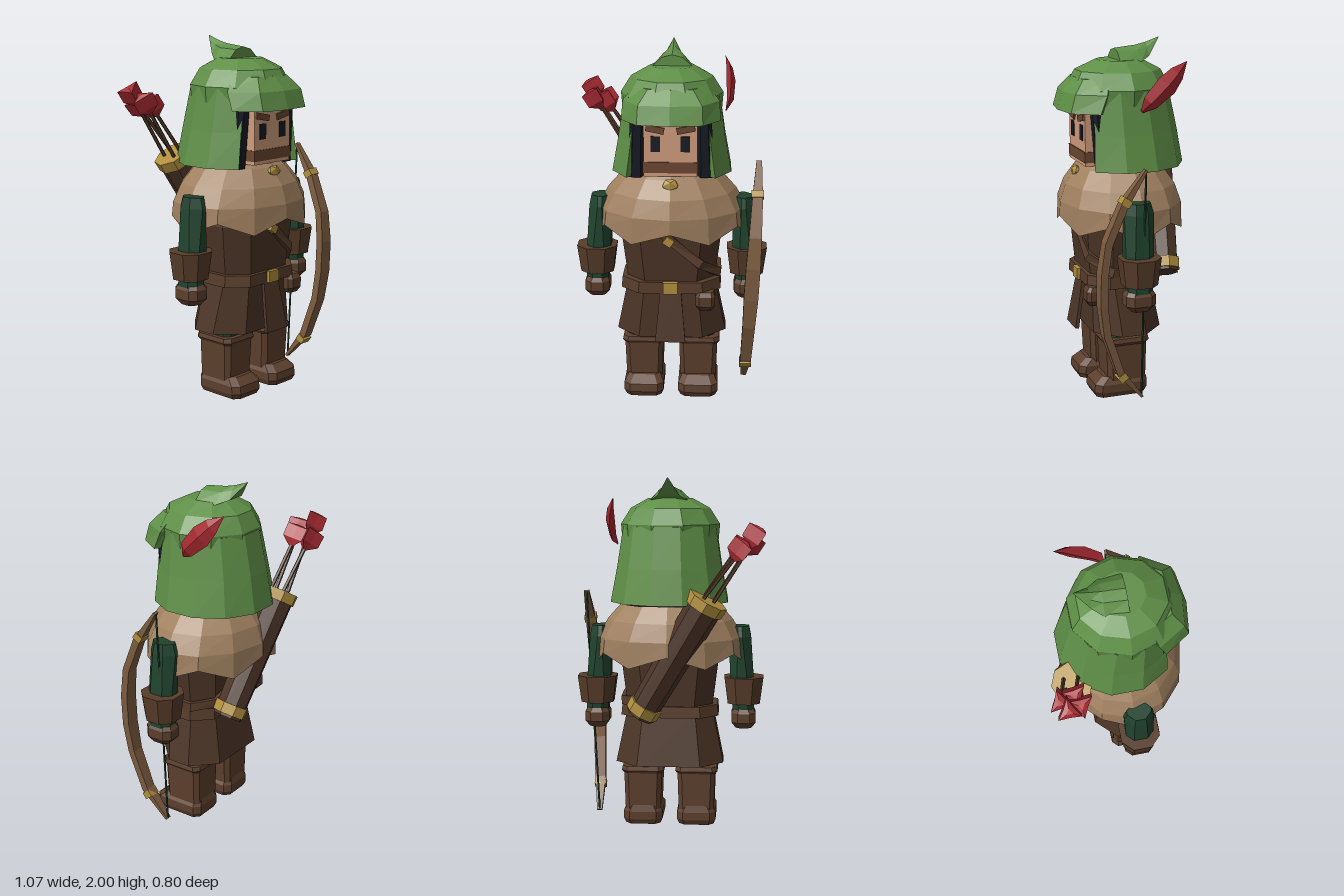
import * as THREE from 'three';

const V = (x, y, z) => new THREE.Vector3(x, y, z);
const COL = {
  green: 0x5f8f47, cape: 0xa08060, tunic: 0x4c3527, boot: 0x5c3f2d, gold: 0xb08f3e, sleeve: 0x20432e,
  red: 0xa82a32, skin: 0xcf9c7c, wood: 0x7d5c40, black: 0x171a24, leather: 0x573c2a, brow: 0x6b4630,
};
const mats = {};
for (const k in COL) mats[k] = new THREE.MeshStandardMaterial({ color: COL[k], flatShading: true, side: THREE.DoubleSide });

// Skin a list of equal-length closed rings; ends are capped with a ladder of quads.
function loft(rings, capStart = true, capEnd = true) {
  const tris = [], n = rings[0].length;
  const tri = (a, b, c) => tris.push([a, b, c]);
  for (let i = 0; i < rings.length - 1; i++) for (let j = 0; j < n; j++) {
    const k = (j + 1) % n, p = rings[i], q = rings[i + 1];
    tri(p[j], p[k], q[k]);
    tri(p[j], q[k], q[j]);
  }
  const cap = (r, flip) => {
    for (let j = 0; j + 1 <= n - 2 - j; j++) {
      const a = r[j], b = r[j + 1], c = r[n - 2 - j], d = r[n - 1 - j];
      if (flip) { tri(c, b, a); tri(d, c, a); } else { tri(a, b, c); tri(a, c, d); }
    }
  };
  if (capStart) cap(rings[0], true);
  if (capEnd) cap(rings[rings.length - 1], false);
  // keep faces pointing outward whichever way the rings run
  let vol = 0;
  for (const [a, b, c] of tris) vol += a.dot(b.clone().cross(c));
  const pts = tris.flatMap(([a, b, c]) => (vol < 0 ? [a, c, b] : [a, b, c]));
  const g = new THREE.BufferGeometry().setFromPoints(pts);
  g.computeVertexNormals();
  return g;
}

// Horizontal rectangle with cut corners: centre cx, half width hw, z range, corner cut c
const rect = (y, cx, hw, z0, z1, c) => [
  [hw - c, z0], [hw, z0 + c], [hw, z1 - c], [hw - c, z1],
  [c - hw, z1], [-hw, z1 - c], [-hw, z0 + c], [c - hw, z0],
].map(([x, z]) => V(cx + x, y, z)).reverse();

// Horizontal ellipse; angle 0 faces the front
const oval = (n, y, rx, rz, cz, off = 0) => Array.from({ length: n }, (_, i) => {
  const a = ((i + off) / n) * Math.PI * 2;
  return V(Math.sin(a) * rx, typeof y === 'function' ? y(i) : y, cz + Math.cos(a) * rz);
});

// Strip outline closed by a smaller copy of itself, which gives cloth its thickness
const thick = (pts, s, cz) => [...pts, ...pts.map(p => V(p.x * s, p.y, cz + (p.z - cz) * s)).reverse()];

// Sweep a flat rectangular section along points; outward(p) is the thin direction
function sweep(pts, w, t, outward) {
  return loft(pts.map((p, i) => {
    const T = pts[Math.min(i + 1, pts.length - 1)].clone().sub(pts[Math.max(i - 1, 0)]).normalize();
    const S = T.clone().cross(outward(p)).normalize(), N = S.clone().cross(T);
    const hw = w(i) / 2, ht = t(i) / 2;
    return [[-1, -1], [1, -1], [1, 1], [-1, 1]].map(([a, b]) => p.clone().addScaledVector(S, a * hw).addScaledVector(N, b * ht));
  }));
}

export function createModel() {
  const root = new THREE.Group();
  const add = (name, geo, mat, parent = root) => {
    const m = new THREE.Mesh(geo, mats[mat]);
    m.name = name;
    parent.add(m);
    return m;
  };
  const box = (name, mat, w, h, d, x, y, z, rz = 0) => {
    const m = add(name, new THREE.BoxGeometry(w, h, d), mat);
    m.position.set(x, y, z);
    m.rotation.z = rz;
    return m;
  };
  // Cylinder between two points
  const rod = (name, mat, a, b, r0, r1, n, parent = root) => {
    const m = add(name, new THREE.CylinderGeometry(r1, r0, a.distanceTo(b), n), mat, parent);
    m.position.copy(a).lerp(b, 0.5);
    m.quaternion.setFromUnitVectors(V(0, 1, 0), b.clone().sub(a).normalize());
    return m;
  };

  // Legs, boots and arms, mirrored
  for (const s of [1, -1]) {
    const side = s > 0 ? 'left' : 'right', x = s * 0.155, ax = s * 0.425;
    add(side + 'Leg', loft([rect(0.3, x, 0.09, 0, 0.18, 0.03), rect(0.5, x, 0.09, 0, 0.18, 0.03)]), 'sleeve');
    add(side + 'Foot', loft([
      rect(0, x, 0.1, -0.025, 0.26, 0.03), rect(0.03, x, 0.113, -0.04, 0.275, 0.035),
      rect(0.075, x, 0.113, -0.04, 0.27, 0.035), rect(0.115, x, 0.09, -0.03, 0.22, 0.03)]), 'boot');
    add(side + 'BootShaft', loft([rect(0.08, x, 0.102, -0.03, 0.195, 0.025), rect(0.32, x, 0.11, -0.033, 0.205, 0.025)]), 'boot');
    add(side + 'BootCuff', loft([
      rect(0.305, x, 0.113, -0.036, 0.208, 0.03), rect(0.32, x, 0.123, -0.045, 0.215, 0.03),
      rect(0.345, x, 0.118, -0.04, 0.21, 0.03)]), 'boot');
    add(side + 'Sleeve', loft([
      rect(0.66, ax, 0.062, 0.01, 0.15, 0.035), rect(0.88, s * 0.412, 0.068, 0, 0.16, 0.04),
      rect(1.1, s * 0.402, 0.062, -0.008, 0.16, 0.05), rect(1.16, s * 0.4, 0.052, 0.01, 0.145, 0.04)]), 'sleeve');
    add(side + 'Bracer', loft([rect(0.71, ax, 0.092, -0.015, 0.17, 0.05), rect(0.865, ax, 0.112, -0.032, 0.19, 0.06)]), 'leather');
    add(side + 'Hand', loft([
      rect(0.565, ax, 0.045, 0.03, 0.13, 0.02), rect(0.6, ax, 0.07, -0.005, 0.165, 0.035),
      rect(0.655, ax, 0.07, -0.005, 0.165, 0.035), rect(0.68, ax, 0.055, 0.01, 0.15, 0.03)]), 'boot');
  }

  // Tunic, open skirt with front flap, belt
  add('torso', loft([
    rect(0.66, 0, 0.24, -0.08, 0.265, 0.1), rect(0.98, 0, 0.28, -0.1, 0.29, 0.11), rect(1.27, 0, 0.2, -0.08, 0.23, 0.08)]), 'tunic');
  add('skirt', loft([
    rect(0.5, 0, 0.27, -0.09, 0.24, 0.12), rect(0.37, 0, 0.295, -0.12, 0.25, 0.13),
    rect(0.37, 0, 0.31, -0.137, 0.262, 0.13), rect(0.66, 0, 0.25, -0.085, 0.26, 0.1)]), 'tunic');
  add('frontFlap', loft([[0.37, 0.085, 0.338], [0.66, 0.058, 0.288]].map(([y, w, z]) =>
    [V(-w, y, z), V(w, y, z), V(w, y, z - 0.02), V(-w, y, z - 0.02)])), 'tunic');
  add('belt', loft([rect(0.645, 0, 0.28, -0.1, 0.295, 0.1), rect(0.71, 0, 0.274, -0.095, 0.292, 0.1)]), 'leather');
  box('beltBuckle', 'gold', 0.08, 0.065, 0.025, 0, 0.68, 0.3);
  add('pouch', loft([
    rect(0.545, 0.195, 0.035, 0.23, 0.295, 0.012), rect(0.575, 0.195, 0.055, 0.21, 0.315, 0.02),
    rect(0.63, 0.195, 0.055, 0.21, 0.315, 0.02), rect(0.655, 0.195, 0.045, 0.22, 0.3, 0.015)]), 'leather');

  // Shoulder strap running round to the back
  const strap = [[-0.22, 1.18, 0.22], [-0.04, 0.995, 0.297], [0.165, 0.815, 0.283], [0.268, 0.735, 0.17],
    [0.266, 0.73, 0], [0.17, 0.75, -0.105], [0.05, 0.8, -0.12]].map(p => V(...p));
  add('strap', sweep(strap, () => 0.05, () => 0.025, p => V(p.x * 0.7, 0, p.z - 0.09)), 'leather');
  box('strapBuckle', 'gold', 0.05, 0.045, 0.03, -0.01, 0.955, 0.308, -0.6);

  // Shoulder cape with a pointed hem
  const hem = i => (i % 2 ? 0.95 : 1.02);
  add('cape', loft([
    oval(12, hem, 0.425, 0.35, 0.05), oval(12, 1.1, 0.415, 0.345, 0.05), oval(12, 1.2, 0.36, 0.312, 0.05),
    oval(12, 1.295, 0.275, 0.245, 0.05), oval(12, 1.345, 0.18, 0.19, 0.05)], false, true), 'cape');
  const clasp = add('clasp', new THREE.IcosahedronGeometry(0.05, 0), 'gold');
  clasp.position.set(0, 1.272, 0.302);
  clasp.scale.set(1, 0.8, 0.5);

  // Head, face and hair
  box('head', 'skin', 0.29, 0.38, 0.36, 0, 1.51, 0.11);
  box('chinBand', 'brow', 0.3, 0.06, 0.36, 0, 1.37, 0.115);
  for (const s of [1, -1]) {
    box('eye', 'black', 0.05, 0.085, 0.02, s * 0.08, 1.5, 0.285);
    box('eyebrow', 'brow', 0.1, 0.035, 0.03, s * 0.083, 1.58, 0.285, s * 0.2);
    add('hairLock', loft([rect(1.3, s * 0.19, 0.045, 0.1, 0.24, 0.02), rect(1.68, s * 0.178, 0.04, 0.1, 0.27, 0.02)]), 'black');
  }
  add('backHair', loft([rect(1.29, 0, 0.235, -0.2, 0.16, 0.09), rect(1.72, 0, 0.2, -0.16, 0.16, 0.08)]), 'black');

  // Hood drape, open at the front
  const drape = (y, rx, rz, cz) => thick(Array.from({ length: 10 }, (_, i) => {
    const a = Math.PI * (0.25 + 1.5 * i / 9);
    return V(Math.sin(a) * rx, y, cz + Math.cos(a) * rz);
  }), 0.9, cz);
  add('hoodDrape', loft([drape(1.305, 0.342, 0.34, 0.025), drape(1.5, 0.305, 0.315, 0.035), drape(1.73, 0.27, 0.282, 0.052)]), 'green');

  // Hat crown, brim and folded peak
  add('hatCrown', loft([
    oval(10, 1.655, 0.275, 0.28, 0.055, 0.5), oval(10, 1.74, 0.282, 0.288, 0.055, 0.5),
    oval(10, 1.83, 0.225, 0.24, 0.055, 0.5), oval(10, 1.885, 0.125, 0.13, 0.05, 0.5)]), 'green');
  const brim = (y, x, z0, x1, z1, z2) => thick([[-x, z0], [-x1, z1], [0, z2], [x1, z1], [x, z0]].map(([px, z]) => V(px, y, z)), 0.88, 0.06);
  add('hatBrim', loft([brim(1.62, 0.268, 0.24, 0.175, 0.378, 0.402), brim(1.72, 0.262, 0.2, 0.17, 0.35, 0.372),
    brim(1.795, 0.2, 0.17, 0.12, 0.29, 0.305)]), 'green');
  const peak = (z, w, y0, y1, y2) => [[-w, y0], [w, y0], [w * 0.5, y1], [0, y2], [-w * 0.5, y1]].map(([x, y]) => V(x, y, z));
  add('hatPeak', loft([
    peak(0.075, 0.118, 1.875, 1.93, 1.945), peak(-0.05, 0.105, 1.875, 1.935, 1.958),
    peak(-0.11, 0.06, 1.9, 1.948, 1.972), peak(-0.19, 0.002, 1.998, 1.999, 2)]), 'green');

  // Hat feather: diamond sections from quill to tip
  add('feather', loft([[0.297, 1.63, 0.02, 0.008], [0.32, 1.68, -0.02, 0.047], [0.323, 1.77, -0.115, 0.062], [0.315, 1.83, -0.175, 0.045], [0.292, 1.89, -0.24, 0.002]]
    .map(([x, y, z, w]) => [V(x, y + w * 0.7, z + w * 0.7), V(x + w * 0.4, y, z), V(x, y - w * 0.7, z - w * 0.7), V(x - w * 0.4, y, z)])), 'red');

  // Quiver across the back
  const q0 = V(0.155, 0.675, -0.172), q1 = V(-0.23, 1.34, -0.258);
  const at = t => q0.clone().lerp(q1, t);
  const quiver = new THREE.Group();
  quiver.name = 'quiver';
  root.add(quiver);
  rod('quiverBody', 'tunic', at(0), at(0.97), 0.085, 0.102, 8, quiver);
  rod('quiverTopBand', 'gold', at(0.92), at(1), 0.112, 0.115, 8, quiver);
  rod('quiverBottomBand', 'gold', at(0.02), at(0.1), 0.096, 0.098, 8, quiver);

  // Arrows with star-section fletching
  const arrows = [[-0.48, 1.68, -0.31], [-0.45, 1.64, -0.24], [-0.4, 1.61, -0.34], [-0.385, 1.62, -0.26]];
  arrows.forEach((p, i) => {
    const tip = V(...p);
    const foot = at(0.98).add(V(i < 2 ? -0.035 : 0.035, 0, i % 2 ? 0.04 : -0.04));
    const dir = tip.clone().sub(foot).normalize();
    rod('arrowShaft', 'leather', foot, tip, 0.011, 0.011, 5, quiver);
    const star = (t, r) => Array.from({ length: 6 }, (_, j) => {
      const a = j * Math.PI / 3 + i, k = r * (j % 2 ? 0.45 : 1);
      return V(Math.cos(a) * k, t, Math.sin(a) * k);
    });
    const f = add('fletching', loft([star(-0.065, 0.015), star(-0.025, 0.068), star(0.05, 0.07), star(0.06, 0.02)]), 'red', quiver);
    f.position.copy(tip);
    f.quaternion.setFromUnitVectors(V(0, 1, 0), dir);
  });

  // Bow with string and bands
  const bx = y => 0.42 + 0.065 * (y - 0.06) / 1.29;
  const bow = [[1.355, 0.065], [1.17, 0.19], [0.97, 0.275], [0.8, 0.298], [0.62, 0.298], [0.45, 0.275], [0.22, 0.195], [0.055, 0.06]]
    .map(([y, z]) => V(bx(y), y, z));
  const widths = [0.03, 0.058, 0.07, 0.08, 0.08, 0.07, 0.062, 0.03];
  add('bow', sweep(bow, i => widths[i], i => (i % 7 ? 0.042 : 0.015), () => V(0, 0, 1)), 'wood');
  rod('bowString', 'sleeve', V(bx(0.06), 0.06, 0.062), V(bx(1.35), 1.35, 0.064), 0.006, 0.006, 5);
  for (const [y, z, t] of [[1.19, 0.178, -0.58], [0.19, 0.18, 0.65]]) {
    const b = box('bowBand', 'gold', 0.068, 0.04, 0.052, bx(y), y, z);
    b.rotation.x = t;
  }
  return root;
}
